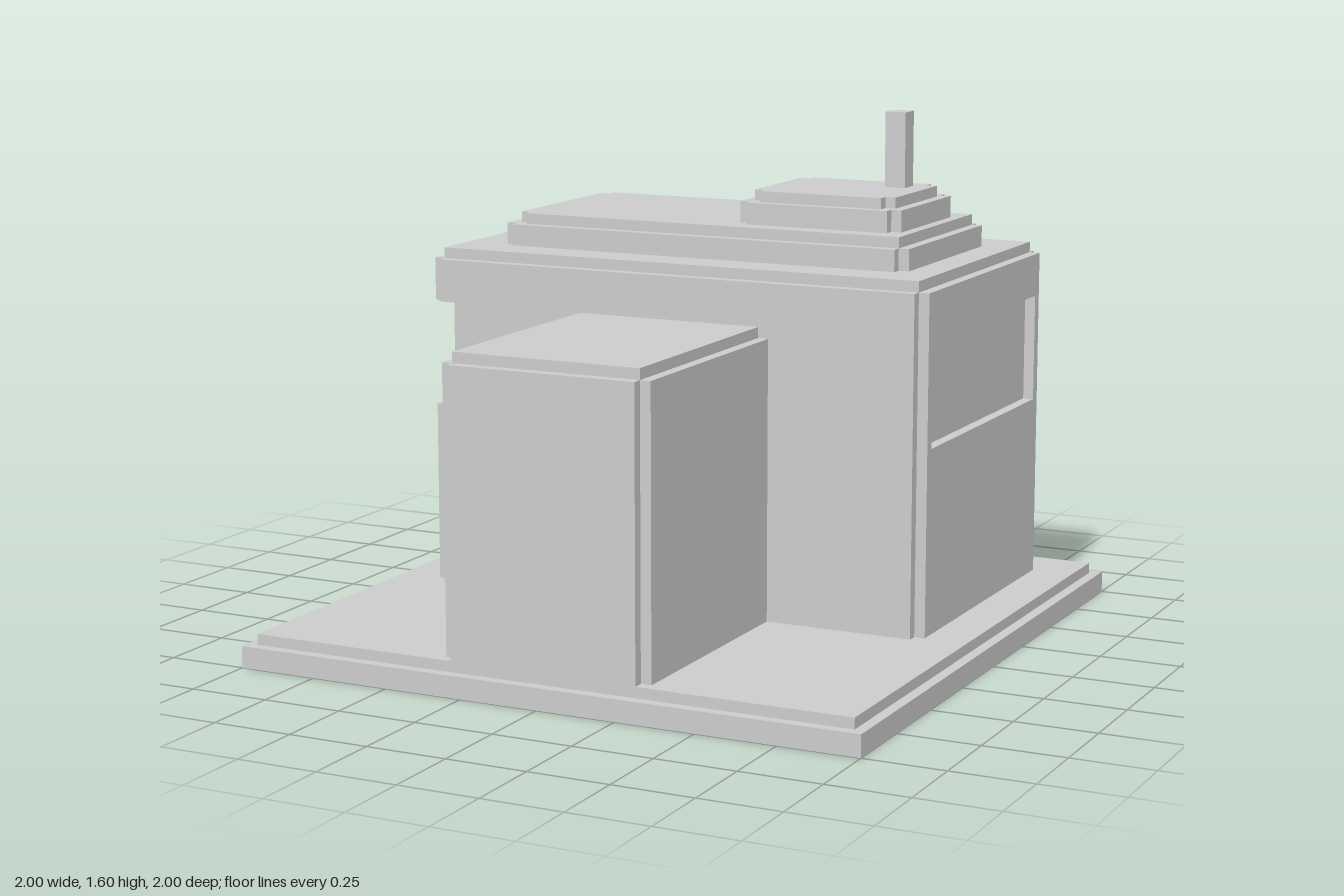
import * as THREE from 'three';

const U = 1 / 30; // one grid cell
const mat = new THREE.MeshStandardMaterial({ color: 0xcccccc, flatShading: true });

export function createModel() {
  const root = new THREE.Group();
  root.name = 'blockHouse';

  const group = (name) => {
    const g = new THREE.Group();
    g.name = name;
    root.add(g);
    return g;
  };

  // Box from its min and max corners, in grid cells
  const box = (parent, name, x0, x1, y0, y1, z0, z1) => {
    const geo = new THREE.BoxGeometry((x1 - x0) * U, (y1 - y0) * U, (z1 - z0) * U);
    geo.translate((x0 + x1) / 2 * U, (y0 + y1) / 2 * U, (z0 + z1) / 2 * U);
    const mesh = new THREE.Mesh(geo, mat);
    mesh.name = name;
    parent.add(mesh);
  };

  // Block whose upright corners and top rim are stepped in by one cell
  const steppedBlock = (name, x0, x1, y0, y1, z0, z1) => {
    const g = group(name);
    box(g, name + 'Wide', x0, x1, y0, y1 - 1, z0 + 1, z1 - 1);
    box(g, name + 'Deep', x0 + 1, x1 - 1, y0, y1 - 1, z0, z1);
    return g;
  };

  const vectors = (pts) => pts.map(([x, y]) => new THREE.Vector2(x * U, y * U));
  const rect = (x0, x1, y0, y1) => [[x0, y0], [x1, y0], [x1, y1], [x0, y1]];

  // One-cell-thick wall panel with openings, starting at depth z
  const panel = (parent, name, outline, holes, z) => {
    const shape = new THREE.Shape(vectors(outline));
    holes.forEach((h) => shape.holes.push(new THREE.Path(vectors(h))));
    const geo = new THREE.ExtrudeGeometry(shape, { depth: U, bevelEnabled: false });
    geo.translate(0, 0, z * U);
    const mesh = new THREE.Mesh(geo, mat);
    mesh.name = name;
    parent.add(mesh);
    return mesh;
  };

  // Ground slab
  const base = group('base');
  box(base, 'baseSlab', -30, 30, 0, 2, -30, 30);
  box(base, 'baseStep', -29, 29, 2, 3, -29, 29);

  // Main building: solid core with facing panels that form the window recesses
  const house = group('house');
  box(house, 'core', -23, 24, 3, 35, -24, 4);
  const wallOutline = [[-24, 3], [24, 3], [24, 34], [-24, 34], [-24, 30], [-11, 30], [-11, 20], [-24, 20]];
  panel(house, 'frontWall', wallOutline, [], 4);
  panel(house, 'backWall', wallOutline, [rect(11, 17, 15, 26)], -25);
  const side = panel(house, 'windowWall', rect(-4, 24, 3, 34), [rect(-3, 23, 20, 30)], 24);
  side.geometry.rotateY(Math.PI / 2);
  box(house, 'lowerSideWall', -25, -24, 3, 20, -24, 4);
  box(house, 'lowerSideInner', -24, -23, 3, 20, -24, 4);
  box(house, 'upperSideWall', -25, -24, 30, 34, -24, 4);
  box(house, 'upperSideInner', -24, -23, 30, 35, -24, 4);

  // Front entrance block
  const porch = group('entrance');
  box(porch, 'entranceWide', -10, 10, 3, 29, 5, 28);
  box(porch, 'entranceDeep', -9, 9, 3, 29, 5, 29);
  box(porch, 'entranceTop', -9, 9, 29, 30, 5, 28);

  // Roof tiers
  const lower = steppedBlock('lowerRoof', -20, 21, 35, 38, -20, 0);
  box(lower, 'lowerRoofTop', -18, 20, 37, 38, -19, -1);
  box(lower, 'lowerRoofEdge', -19, -18, 37, 38, -18, -2);
  const upper = steppedBlock('upperRoof', 3, 19, 38, 41, -17, -3);
  box(upper, 'upperRoofTopWide', 4, 18, 40, 41, -15, -5);
  box(upper, 'upperRoofTopDeep', 5, 17, 40, 41, -16, -4);
  box(root, 'chimney', 14, 16, 41, 48, -14, -12);

  // Rear balcony with railing, open on the ladder side
  const balcony = group('balcony');
  box(balcony, 'balconyBlock', 0, 20, 0, 15, -30, -25);
  box(balcony, 'backRail', 0, 20, 18, 19, -30, -29);
  box(balcony, 'sideRail', 19, 20, 18, 19, -29, -25);
  for (const x of [0, 19]) box(balcony, 'railPost', x, x + 1, 15, 18, -30, -29);

  // Door surround standing proud of the back wall
  panel(root, 'doorFrame',
    [[9, 15], [11, 15], [11, 26], [17, 26], [17, 15], [19, 15], [19, 29], [9, 29]], [], -26);

  // Ladder up to the balcony
  const ladder = group('ladder');
  for (const x of [-5, -1]) box(ladder, 'ladderRail', x, x + 1, 3, 22, -26, -25);
  for (let y = 3; y <= 21; y += 3) box(ladder, 'rung', -4, -1, y, y + 1, -26, -25);

  return root;
}
